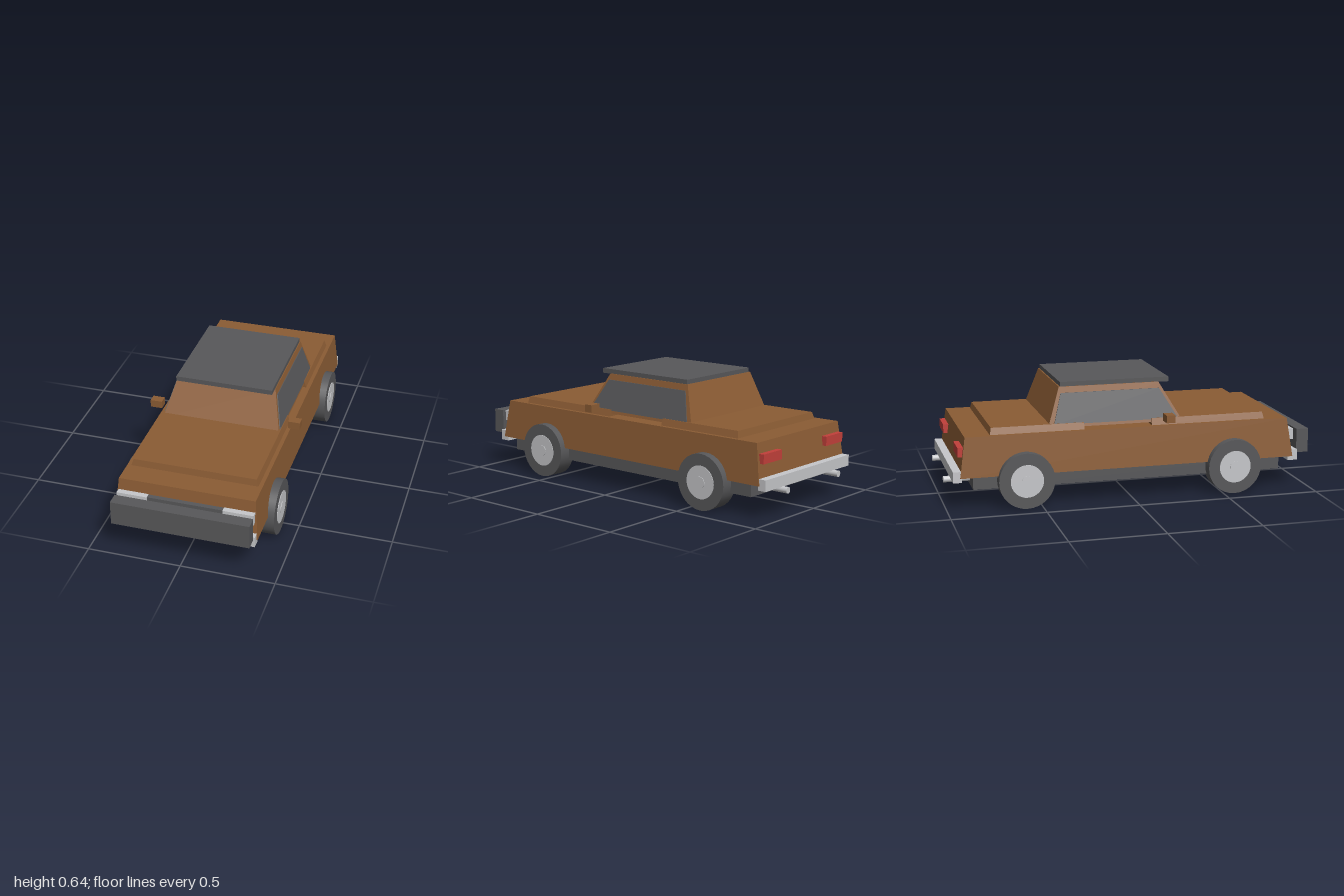
import * as THREE from 'three';

const material = (name, color) => {
  const m = new THREE.MeshStandardMaterial({ color });
  m.name = name;
  return m;
};

export function createModel() {
  const car = new THREE.Group();
  car.name = 'car';
  const paint = material('brown paint', 0x8b5c34);
  const dark = material('dark grey', 0x58585a);
  const chrome = material('light grey', 0xc6c7ca);
  const red = material('tail light red', 0xc2403a);

  const add = (name, geometry, mat) => {
    const mesh = new THREE.Mesh(geometry, mat);
    mesh.name = name;
    car.add(mesh);
    return mesh;
  };

  // Box between two corners given as ranges
  const box = (name, mat, [x0, x1], [y0, y1], [z0, z1]) => {
    const mesh = add(name, new THREE.BoxGeometry(x1 - x0, y1 - y0, z1 - z0), mat);
    mesh.position.set((x0 + x1) / 2, (y0 + y1) / 2, (z0 + z1) / 2);
    return mesh;
  };

  // Tapered block: each level is [y, half width, back z, front z]
  const taper = (name, mat, bottom, top) => {
    const g = new THREE.BoxGeometry(1, 1, 1);
    const p = g.attributes.position;
    for (let i = 0; i < p.count; i++) {
      const [y, w, back, front] = p.getY(i) > 0 ? top : bottom;
      p.setXYZ(i, Math.sign(p.getX(i)) * w, y, p.getZ(i) > 0 ? front : back);
    }
    g.computeVertexNormals();
    return add(name, g, mat);
  };

  // Body shell, hood, trunk lid and cabin
  taper('body', paint, [0.177, 0.381, -0.93, 0.905], [0.39, 0.361, -0.9, 0.873]);
  taper('hood', paint, [0.39, 0.34, 0.11, 0.747], [0.426, 0.328, 0.11, 0.74]);
  taper('trunkLid', paint, [0.39, 0.34, -0.765, -0.26], [0.426, 0.328, -0.757, -0.26]);
  taper('cabin', paint, [0.404, 0.325, -0.453, 0.285], [0.612, 0.27, -0.382, 0.165]);
  taper('sideWindows', dark, [0.42, 0.326, -0.42, 0.26], [0.58, 0.283, -0.375, 0.165]);
  box('roof', dark, [-0.266, 0.266], [0.61, 0.636], [-0.375, 0.223]);
  box('chassis', dark, [-0.351, 0.351], [0.105, 0.18], [-0.86, 0.835]);

  // Front end
  box('frontBumper', chrome, [-0.375, 0.375], [0.154, 0.213], [0.88, 0.935]);
  box('frontGuard', dark, [-0.365, 0.365], [0.193, 0.325], [0.932, 1.0]);
  box('grille', dark, [-0.2, 0.2], [0.235, 0.326], [0.86, 0.908]);

  // Rear end
  box('rearBumper', chrome, [-0.375, 0.375], [0.154, 0.213], [-0.967, -0.92]);

  for (const s of [-1, 1]) {
    const range = (a, b) => (s > 0 ? [a, b] : [-b, -a]);
    box('headlight', chrome, range(0.2, 0.362), [0.27, 0.328], [0.86, 0.913]);
    box('tailLight', red, range(0.2, 0.353), [0.285, 0.335], [-0.937, -0.9]);
    box('mirror', paint, range(0.355, 0.42), [0.415, 0.456], [0.168, 0.217]);

    const exhaust = add('exhaustPipe', new THREE.CylinderGeometry(0.017, 0.017, 0.2, 16), chrome);
    exhaust.rotation.x = Math.PI / 2;
    exhaust.position.set(s * 0.228, 0.14, -0.9);

    // Wheels: tyre, rim disc and hub cap
    for (const z of [0.56, -0.585]) {
      const disc = (name, mat, radius, x0, x1) => {
        const mesh = add(name, new THREE.CylinderGeometry(radius, radius, x1 - x0, 32), mat);
        mesh.rotation.z = Math.PI / 2;
        mesh.position.set(s * (x0 + x1) / 2, 0.149, z);
      };
      disc('tyre', dark, 0.149, 0.317, 0.414);
      disc('rim', chrome, 0.088, 0.33, 0.417);
      disc('hubCap', chrome, 0.03, 0.33, 0.42);
    }
  }
  return car;
}
